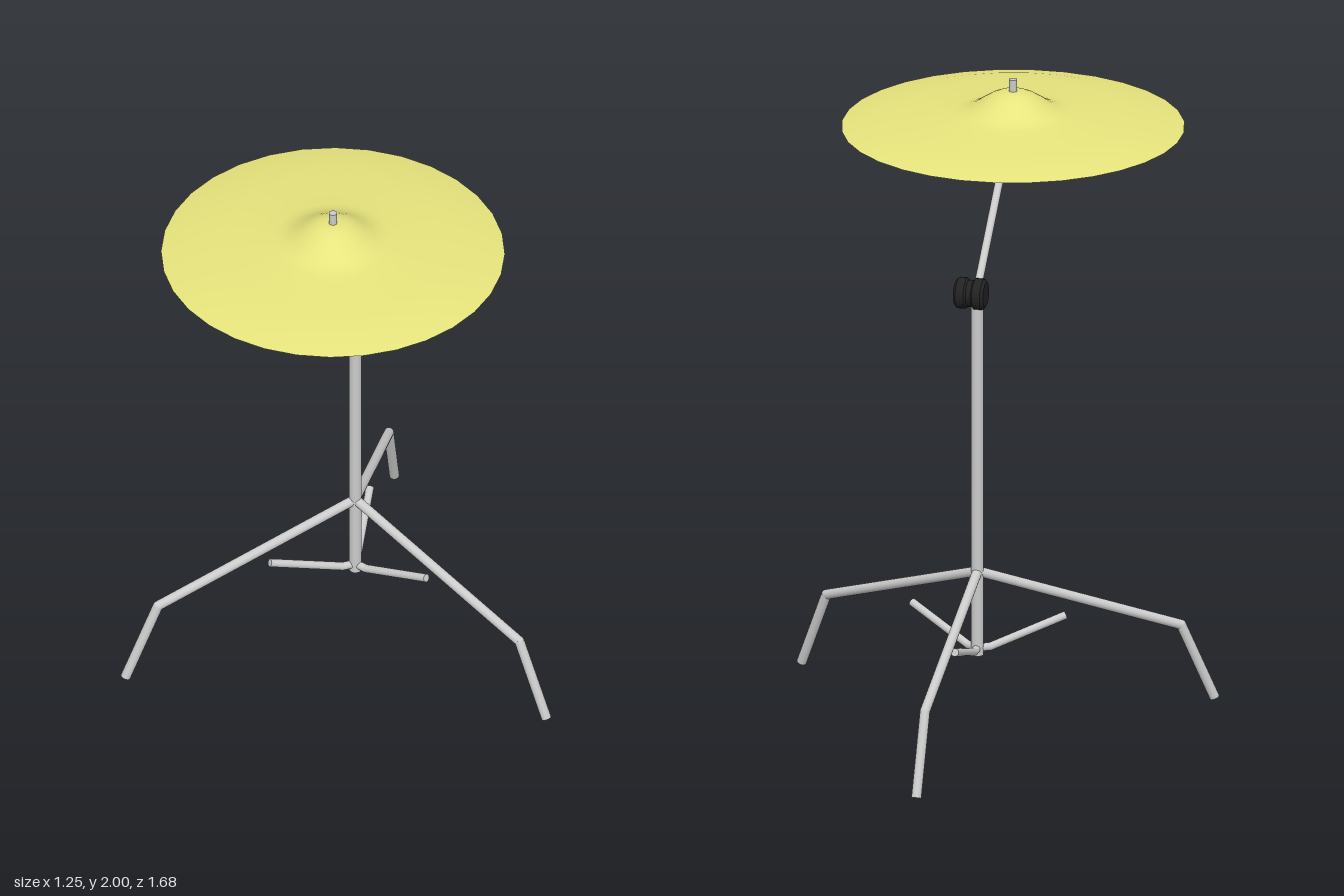
import * as THREE from 'three';
import { mergeGeometries } from 'three/addons/utils/BufferGeometryUtils.js';

const UP = new THREE.Vector3(0, 1, 0);
const V = (x, y, z) => new THREE.Vector3(x, y, z);

// Bent round rod: straight segments with a ball in each bend
function rod(name, points, radius, material) {
  const parts = [];
  for (let i = 0; i < points.length - 1; i++) {
    const dir = points[i + 1].clone().sub(points[i]);
    const g = new THREE.CylinderGeometry(radius, radius, dir.length(), 16);
    g.applyQuaternion(new THREE.Quaternion().setFromUnitVectors(UP, dir.clone().normalize()));
    const mid = points[i].clone().add(points[i + 1]).multiplyScalar(0.5);
    parts.push(g.translate(mid.x, mid.y, mid.z));
    if (i > 0) {
      const ball = new THREE.SphereGeometry(radius, 16, 10);
      parts.push(ball.translate(points[i].x, points[i].y, points[i].z));
    }
  }
  const mesh = new THREE.Mesh(mergeGeometries(parts), material);
  mesh.name = name;
  return mesh;
}

export function createModel() {
  const model = new THREE.Group();
  model.name = 'cymbalStand';
  const metal = new THREE.MeshStandardMaterial({ color: 0xcccccc });
  const black = new THREE.MeshStandardMaterial({ color: 0x222222 });
  const brass = new THREE.MeshStandardMaterial({ color: 0xe6e47c, side: THREE.DoubleSide });

  const px = -0.17, pz = -0.12; // pole position
  const cx = 0.03, cz = 0.295;  // cymbal position

  // Upright pole
  model.add(rod('pole', [V(px, 0.225, pz), V(px, 1.44, pz)], 0.02, metal));

  // Three bent legs, each with a short brace low on the pole
  for (let i = 0; i < 3; i++) {
    const a = THREE.MathUtils.degToRad(4.5 + i * 120);
    const at = (r, y) => V(px + r * Math.cos(a), y, pz + r * Math.sin(a));
    model.add(rod('leg', [at(0, 0.505), at(0.67, 0.262), at(0.78, 0.008)], 0.016, metal));
    model.add(rod('brace', [at(0, 0.248), at(0.042, 0.248), at(0.29, 0.33)], 0.013, metal));
  }

  // Tilt clamp: two chamfered discs with a groove between, on a level axis across the arm
  const clampProfile = [
    [0, -0.049], [0.04, -0.049], [0.05, -0.04], [0.05, -0.014], [0.043, -0.008],
    [0.043, 0.008], [0.05, 0.014], [0.05, 0.04], [0.04, 0.049], [0, 0.049],
  ].map(([r, y]) => new THREE.Vector2(r, y));
  const clampGeometry = new THREE.LatheGeometry(clampProfile, 24).toNonIndexed();
  clampGeometry.computeVertexNormals();
  const clamp = new THREE.Mesh(clampGeometry, black);
  clamp.name = 'tiltClamp';
  clamp.position.set(-0.15, 1.435, -0.128);
  clamp.quaternion.setFromUnitVectors(UP, V(0.9, 0, -0.43).normalize());
  model.add(clamp);

  // Slanted arm ending in a vertical spindle through the cymbal
  model.add(rod('arm', [V(-0.17, 1.44, -0.125), V(cx, 1.885, cz), V(cx, 2, cz)], 0.013, metal));

  // Cymbal: thin shell with a raised bell
  const cymbalProfile = [
    [0.545, 1.842], [0.46, 1.861], [0.36, 1.872], [0.26, 1.882], [0.19, 1.889], [0.16, 1.895],
    [0.13, 1.908], [0.1, 1.928], [0.075, 1.944], [0.05, 1.955], [0.025, 1.96], [0, 1.961],
  ].map(([r, y]) => new THREE.Vector2(r, y));
  const cymbal = new THREE.Mesh(new THREE.LatheGeometry(cymbalProfile, 32), brass);
  cymbal.name = 'cymbal';
  cymbal.position.set(cx, 0, cz);
  model.add(cymbal);

  return model;
}
